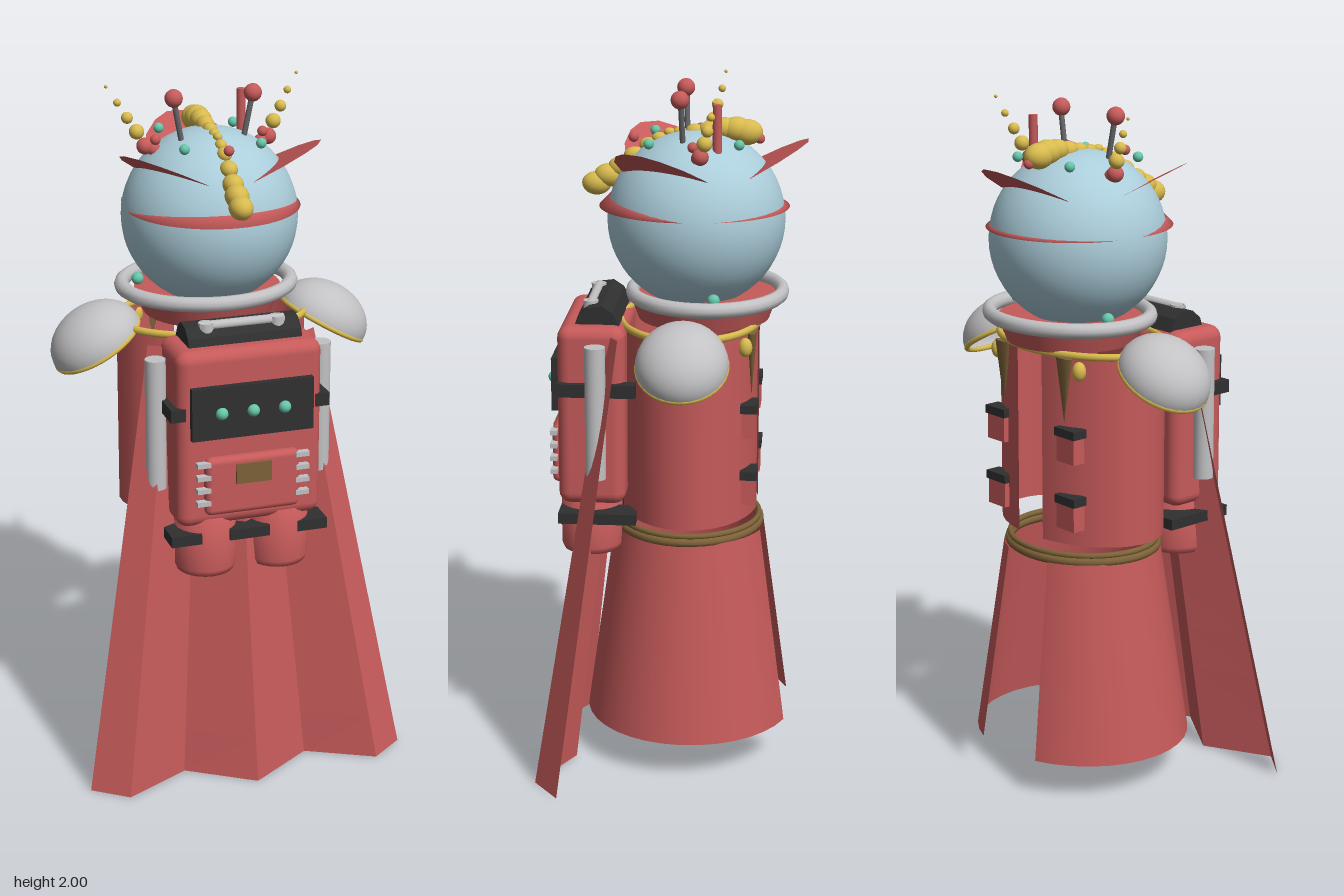
import * as THREE from 'three';
import { RoundedBoxGeometry } from 'three/addons/geometries/RoundedBoxGeometry.js';

const mat = (name, color) => {
  const m = new THREE.MeshStandardMaterial({ color, side: THREE.DoubleSide });
  m.name = name;
  return m;
};
const vectors2 = (pts) => pts.map(p => new THREE.Vector2(...p));

export function createModel() {
  const root = new THREE.Group();
  const red = mat('red', 0xc65a5a);
  const blue = mat('paleBlue', 0xabcdda);
  const silver = mat('silver', 0xc2c2c4);
  const gold = mat('gold', 0xd8ba4e);
  const brown = mat('brown', 0x7d6238);
  const black = mat('black', 0x303030);
  const teal = mat('teal', 0x66c6aa);
  const grey = mat('darkGrey', 0x66666a);

  const add = (name, geo, material, x = 0, y = 0, z = 0) => {
    const m = new THREE.Mesh(geo, material);
    m.name = name;
    m.position.set(x, y, z);
    root.add(m);
    return m;
  };
  const ball = (name, r, m, x, y, z) => add(name, new THREE.SphereGeometry(r, 16, 12), m, x, y, z);
  const box = (name, w, h, d, m, x, y, z) => add(name, new THREE.BoxGeometry(w, h, d), m, x, y, z);
  const rbox = (name, w, h, d, r, m, x, y, z) => add(name, new RoundedBoxGeometry(w, h, d, 3, r), m, x, y, z);
  const ring = (name, R, r, m, y, z, squash) => {
    const t = add(name, new THREE.TorusGeometry(R, r, 10, 48), m, 0, y, z);
    t.rotation.x = Math.PI / 2;
    t.scale.y = squash;
  };
  const rod = (name, a, b, r, m) => add(name,
    new THREE.TubeGeometry(new THREE.LineCurve3(new THREE.Vector3(...a), new THREE.Vector3(...b)), 1, r, 10), m);

  // Head
  const headZ = -0.077;
  add('head', new THREE.SphereGeometry(0.256, 40, 28), blue, 0, 1.615, headZ);

  // Lips: crescent ledges at the front and back of the head
  const lip = (name, reach, rise, span, turn) => {
    const g = new THREE.PlaneGeometry(1, 1, 28, 2), p = g.attributes.position;
    for (let i = 0; i < p.count; i++) {
      const a = p.getX(i) * 2 * span, v = Math.round(p.getY(i) * 2);
      const c = Math.cos(a * Math.PI / 2 / span);
      const r = v === 0 ? 0.254 + reach * c : 0.25;
      p.setXYZ(i, Math.sin(a) * r, 1.652 + (v > 0 ? rise * c : 0), Math.cos(a) * r);
    }
    g.computeVertexNormals();
    add(name, g, red, 0, 0, headZ).rotation.y = turn;
  };
  lip('frontLip', 0.025, 0.03, 1.5, 0);
  lip('backLip', 0.014, 0.008, 1.3, Math.PI);

  // Three petals rising outward from the head
  const petalShape = new THREE.Shape(vectors2([[-0.148, 0.16], [-0.118, 0.238], [-0.075, 0.29], [-0.03, 0.318],
    [0.03, 0.318], [0.075, 0.29], [0.118, 0.238], [0.148, 0.16]]));
  for (const turn of [Math.PI, Math.PI / 3, -Math.PI / 3]) {
    const g = new THREE.ShapeGeometry(petalShape), p = g.attributes.position;
    for (let i = 0; i < p.count; i++) {
      const w = p.getX(i), r = p.getY(i);
      p.setXYZ(i, w, 1.762 + 0.54 * (r - 0.166), r);
    }
    g.computeVertexNormals();
    add('petal', g, red, 0, 0, headZ).rotation.y = turn;
  }

  // Beaded crest: two chains growing toward the front and the back
  const chain = (name, pts, n, r0, r1) => {
    const curve = new THREE.CatmullRomCurve3(pts.map(([y, z]) => new THREE.Vector3(0, y, z)));
    for (let i = 0; i < n; i++) {
      const t = i / (n - 1), q = curve.getPoint(t);
      ball(name, r0 + (r1 - r0) * Math.min(1, t * 1.2), gold, q.x, q.y, q.z).scale.z = 1.25;
    }
  };
  chain('frontCrest', [[1.862, 0.0], [1.825, 0.06], [1.76, 0.14], [1.712, 0.21]], 7, 0.013, 0.034);
  chain('backCrest', [[1.862, -0.03], [1.868, -0.1], [1.875, -0.17], [1.865, -0.22]], 6, 0.016, 0.037);

  // Crown of alternating beads
  for (let i = 0; i < 8; i++) {
    const a = i * Math.PI / 4;
    ball('crownBead', 0.015, i % 2 ? teal : red, Math.sin(a) * 0.16, 1.847, headZ + Math.cos(a) * 0.18);
  }
  add('crownPost', new THREE.CylinderGeometry(0.013, 0.013, 0.15, 12), red, 0.117, 1.885, -0.143);

  for (const s of [-1, 1]) {
    // Ball antennae
    rod('antennaStalk', [s * 0.09, 1.83, -0.045], [s * 0.117, 1.97, -0.04], 0.008, grey);
    ball('antennaBall', 0.026, red, s * 0.117, 1.972, -0.038);
    // Feelers of shrinking beads
    [[0.16, 1.815, -0.092, 0.02, red], [0.185, 1.825, -0.1, 0.024, red], [0.205, 1.865, -0.113, 0.022, gold],
      [0.23, 1.905, -0.122, 0.017, gold], [0.255, 1.948, -0.134, 0.011, gold], [0.285, 1.994, -0.143, 0.005, gold]]
      .forEach(([x, y, z, r, m]) => ball('feelerBead', r, m, s * x, y, z));
    ball('collarStud', 0.018, teal, s * 0.2, 1.42, -0.14);

    // Shoulder pads: tilted flattened domes with gold rims
    const pad = new THREE.Group();
    pad.name = 'shoulderPad';
    const dome = new THREE.Mesh(new THREE.SphereGeometry(0.141, 28, 12, 0, Math.PI * 2, 0, Math.PI / 2), silver);
    dome.scale.set(1, 0.76, 0.93);
    const rim = new THREE.Mesh(new THREE.TorusGeometry(0.135, 0.008, 8, 36), gold);
    rim.rotation.x = Math.PI / 2;
    rim.scale.y = 0.93;
    rim.position.y = -0.006;
    pad.add(dome, rim);
    pad.position.set(s * 0.348, 1.27, -0.062);
    pad.rotation.z = -s * Math.PI / 6;
    root.add(pad);

    // Arm rods beside the pack
    add('sideRod', new THREE.CylinderGeometry(0.03, 0.03, 0.39, 20), silver, s * 0.247, 1.095, 0.193);

    // Thrusters and straps
    const r = 0.09, prof = [[0, 0], [r - 0.025, 0], [r - 0.007, 0.007], [r, 0.025], [r, 0.19], [0, 0.19]];
    add('thruster', new THREE.LatheGeometry(vectors2(prof), 24), red, s * 0.11, 0.64, 0.22);
    box('upperStrap', 0.045, 0.038, 0.225, black, s * 0.213, 1.155, 0.193);
    box('lowerStrap', 0.09, 0.032, 0.225, black, s * 0.19, 0.77, 0.193);
    for (let i = 0; i < 4; i++) box('panelFin', 0.04, 0.014, 0.02, silver, s * 0.147, 0.89 + i * 0.039, 0.325);

    // Pouches and tassels on the open side of the coat
    for (const y of [0.855, 1.055]) {
      box('pouch', 0.075, 0.085, 0.04, red, s * 0.155, y, -0.242);
      box('pouchFlap', 0.085, 0.025, 0.048, black, s * 0.155, y + 0.045, -0.242);
    }
    const tassel = add('tassel', new THREE.ConeGeometry(0.034, 0.19, 8), brown, s * 0.135, 1.22, -0.247);
    tassel.rotation.x = Math.PI;
    tassel.scale.z = 0.4;
    ball('tasselDrop', 0.02, gold, s * 0.18, 1.28, -0.23).scale.y = 1.4;
  }

  // Collar and neck
  ring('collarRing', 0.25, 0.022, silver, 1.402, -0.11, 0.87);
  add('neck', new THREE.CylinderGeometry(0.215, 0.19, 0.07, 36), red, 0, 1.36, -0.1);

  // Coat and skirt: oval open shells slit at the back
  const shell = (name, rt, rb, y0, y1, half, squash) => add(name,
    new THREE.CylinderGeometry(rt, rb, y1 - y0, 32, 1, true, Math.PI + half, Math.PI * 2 - 2 * half),
    red, 0, (y0 + y1) / 2, -0.064).scale.z = squash;
  shell('coat', 0.282, 0.282, 0.76, 1.325, 0.19, 0.71);
  shell('skirt', 0.24, 0.33, 0.11, 0.7, 0.375, 0.94);
  ring('coatTrim', 0.284, 0.011, gold, 1.322, -0.064, 0.71);
  ring('belt', 0.232, 0.014, brown, 0.705, -0.06, 0.9);
  ring('beltEdge', 0.23, 0.009, brown, 0.723, -0.06, 0.9);

  // Cape: fold points at the hem narrow toward the shoulders
  const hem = [[-0.485, 0.29], [-0.385, 0.365], [-0.19, 0.265], [0, 0.39], [0.19, 0.265], [0.385, 0.365], [0.485, 0.29]];
  const cape = new THREE.PlaneGeometry(1, 1, 6, 10), cp = cape.attributes.position;
  for (let i = 0; i < cp.count; i++) {
    const [hx, hz] = hem[i % 7], t = cp.getY(i) + 0.5;
    cp.setXYZ(i, hx * (1 - 0.485 * t), 1.31 * t, 0.305 - 0.17 * t + (hz - 0.305) * (1 - 0.55 * t));
  }
  const capeGeo = cape.toNonIndexed();
  capeGeo.computeVertexNormals();
  add('cape', capeGeo, red);

  // Backpack
  rbox('packBody', 0.43, 0.53, 0.195, 0.035, red, 0, 1.07, 0.21);
  box('middleStrap', 0.12, 0.032, 0.225, black, 0, 0.77, 0.193);
  box('controlPanel', 0.36, 0.155, 0.03, black, 0, 1.158, 0.312);
  for (const x of [-0.093, 0, 0.093]) ball('button', 0.018, teal, x, 1.157, 0.328);
  rbox('lowerPanel', 0.28, 0.175, 0.04, 0.018, red, 0, 0.935, 0.313);
  box('plate', 0.105, 0.06, 0.008, brown, 0, 0.972, 0.335);

  // Pack lid: a rounded wedge with a carrying handle
  const lid = new THREE.ExtrudeGeometry(new THREE.Shape(vectors2([[-0.26, 0], [-0.13, 0], [-0.15, 0.04],
    [-0.18, 0.06], [-0.22, 0.055], [-0.25, 0.03]])), { depth: 0.335, bevelEnabled: false });
  lid.translate(0, 0, -0.1675);
  add('packLid', lid, black, 0, 1.328, 0).rotation.y = Math.PI / 2;
  rod('handle', [-0.125, 1.382, 0.218], [0.125, 1.382, 0.218], 0.014, silver);
  for (const s of [-1, 1]) add('handlePost', new THREE.CylinderGeometry(0.022, 0.022, 0.05, 16), silver, s * 0.105, 1.367, 0.218);

  return root;
}
